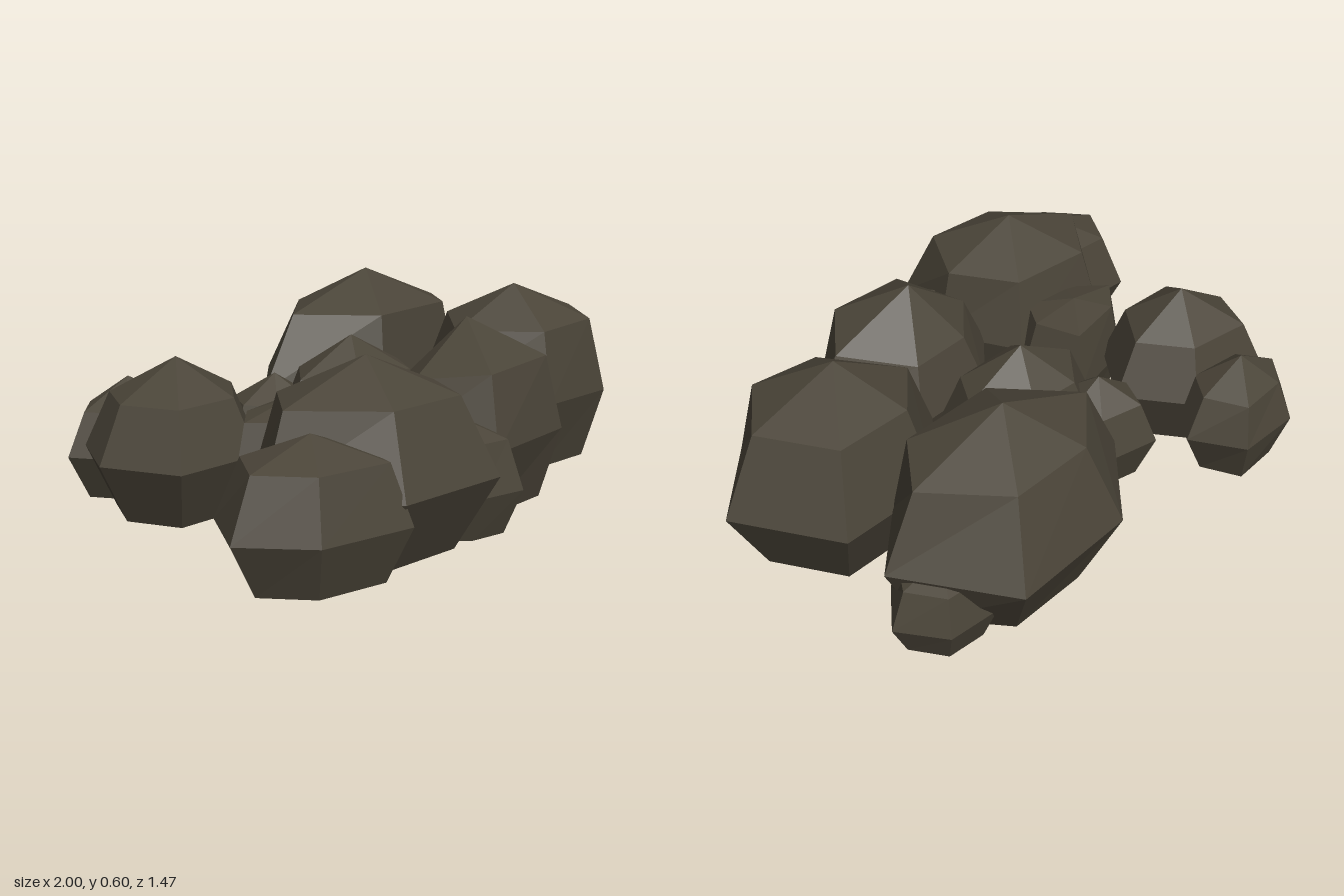
import * as THREE from 'three';

const stone = new THREE.MeshStandardMaterial({ color: 0x4a4438 });
stone.name = 'dark stone';

// A faceted boulder, flattened on the ground. Each waist corner is [x, z, fullness, lift]:
// fullness sets how far the shoulder and base reach out from the peak [x, z],
// lift is the shoulder level as a share of the height.
function boulder(name, height, peak, outline, shoulder = 0.76) {
  const [px, pz] = peak;
  const angle = ([x, z]) => Math.atan2(z - pz, x - px);
  const waist = [...outline].sort((a, b) => angle(a) - angle(b));
  const n = waist.length;

  // Base, waist and shoulder rings
  const rings = [
    (full) => [full * 0.95, 0.012],
    () => [1, 0.4],
    (full, lift) => [full, lift],
  ];
  const positions = [];
  for (const ring of rings) {
    for (const [x, z, full = 0.72, lift = shoulder] of waist) {
      const [scale, level] = ring(full, lift);
      positions.push(px + (x - px) * scale, height * level, pz + (z - pz) * scale);
    }
  }
  positions.push(px, 0, pz, px, height, pz);
  const bottom = n * rings.length;
  const top = bottom + 1;

  const index = [];
  const last = (rings.length - 1) * n;
  for (let i = 0; i < n; i++) {
    const j = (i + 1) % n;
    index.push(bottom, i, j);
    for (let r = 0; r < rings.length - 1; r++) {
      const a = r * n + i, b = r * n + j;
      index.push(a, a + n, b, b, a + n, b + n);
    }
    index.push(last + i, top, last + j);
  }
  const indexed = new THREE.BufferGeometry();
  indexed.setAttribute('position', new THREE.Float32BufferAttribute(positions, 3));
  indexed.setIndex(index);

  // Separate corners give each facet its own flat normal
  const geometry = indexed.toNonIndexed();
  geometry.computeVertexNormals();
  const mesh = new THREE.Mesh(geometry, stone);
  mesh.name = name;
  return mesh;
}

export function createModel() {
  const group = new THREE.Group();
  group.name = 'rockPile';

  // Large boulders
  group.add(
    boulder('leftBoulder', 0.58, [0.58, 0.09],
      [[0.995, 0.085, 0.72], [0.81, -0.23], [0.45, -0.2], [0.24, 0.06, 0.75, 0.78],
        [0.47, 0.345, 0.8, 0.79], [0.76, 0.335, 0.82]], 0.81),
    boulder('backBoulder', 0.595, [0.39, -0.41],
      [[-0.07, -0.415], [0.19, -0.69, 0.68], [0.62, -0.74, 0.66], [0.83, -0.41, 0.75, 0.78],
        [0.62, -0.2, 0.85], [0.23, -0.16, 0.85]], 0.8),
    boulder('frontBoulder', 0.56, [0.125, 0.29],
      [[-0.05, 0.575, 0.77, 0.78], [0.3, 0.525, 0.82, 0.8], [0.5, 0.34, 0.72, 0.72],
        [0.28, 0.06], [-0.02, 0.1], [-0.2, 0.3, 0.72, 0.72]], 0.69),
    boulder('frontRightBoulder', 0.55, [-0.43, 0.42],
      [[-0.81, 0.42, 0.8], [-0.58, 0.72, 0.7], [-0.21, 0.72, 0.7], [-0.11, 0.42, 0.85, 0.79],
        [-0.24, 0.16, 0.78, 0.79], [-0.61, 0.165, 0.8, 0.79]], 0.81),
  );

  // Medium rocks
  group.add(
    boulder('centreRock', 0.465, [0.01, -0.09],
      [[-0.29, -0.09], [-0.12, -0.285], [0.12, -0.29], [0.31, -0.1], [0.2, 0.08], [-0.13, 0.11]]),
    boulder('rightRock', 0.47, [-0.59, -0.21],
      [[-0.87, -0.215], [-0.76, -0.44], [-0.45, -0.42], [-0.3, -0.21], [-0.47, 0.01], [-0.76, 0.02]]),
    boulder('frontCornerRock', 0.4, [-0.72, 0.51],
      [[-1, 0.515, 0.75], [-0.88, 0.305], [-0.6, 0.3], [-0.48, 0.52], [-0.56, 0.73, 0.77], [-0.85, 0.69, 0.77]], 0.83),
  );

  // Small stones filling the gaps
  group.add(
    boulder('innerStone', 0.37, [-0.42, 0.1],
      [[-0.66, 0.125, 0.8], [-0.54, 0, 0.8], [-0.27, -0.08, 0.75], [-0.2, 0.12], [-0.3, 0.28], [-0.52, 0.27]], 0.9),
    boulder('backCornerStone', 0.36, [-0.56, -0.49],
      [[-0.79, -0.49], [-0.66, -0.63], [-0.43, -0.645, 0.8], [-0.335, -0.48], [-0.44, -0.34], [-0.7, -0.35]]),
    boulder('backGapStone', 0.345, [-0.17, -0.25],
      [[-0.35, -0.25], [-0.27, -0.41], [-0.06, -0.38], [0.02, -0.25], [-0.1, -0.08], [-0.27, -0.12]]),
    boulder('backLeftStone', 0.26, [0.68, -0.47],
      [[0.865, -0.475, 0.75], [0.77, -0.61, 0.78], [0.6, -0.61, 0.78], [0.5, -0.47],
        [0.6, -0.33, 0.85], [0.75, -0.335, 0.85]], 0.83),
    boulder('frontGapStone', 0.34, [-0.15, 0.5],
      [[-0.35, 0.5, 0.8], [-0.26, 0.35], [-0.04, 0.35], [0.03, 0.5], [-0.05, 0.67, 0.76], [-0.21, 0.645, 0.78]], 0.83),
  );
  return group;
}
